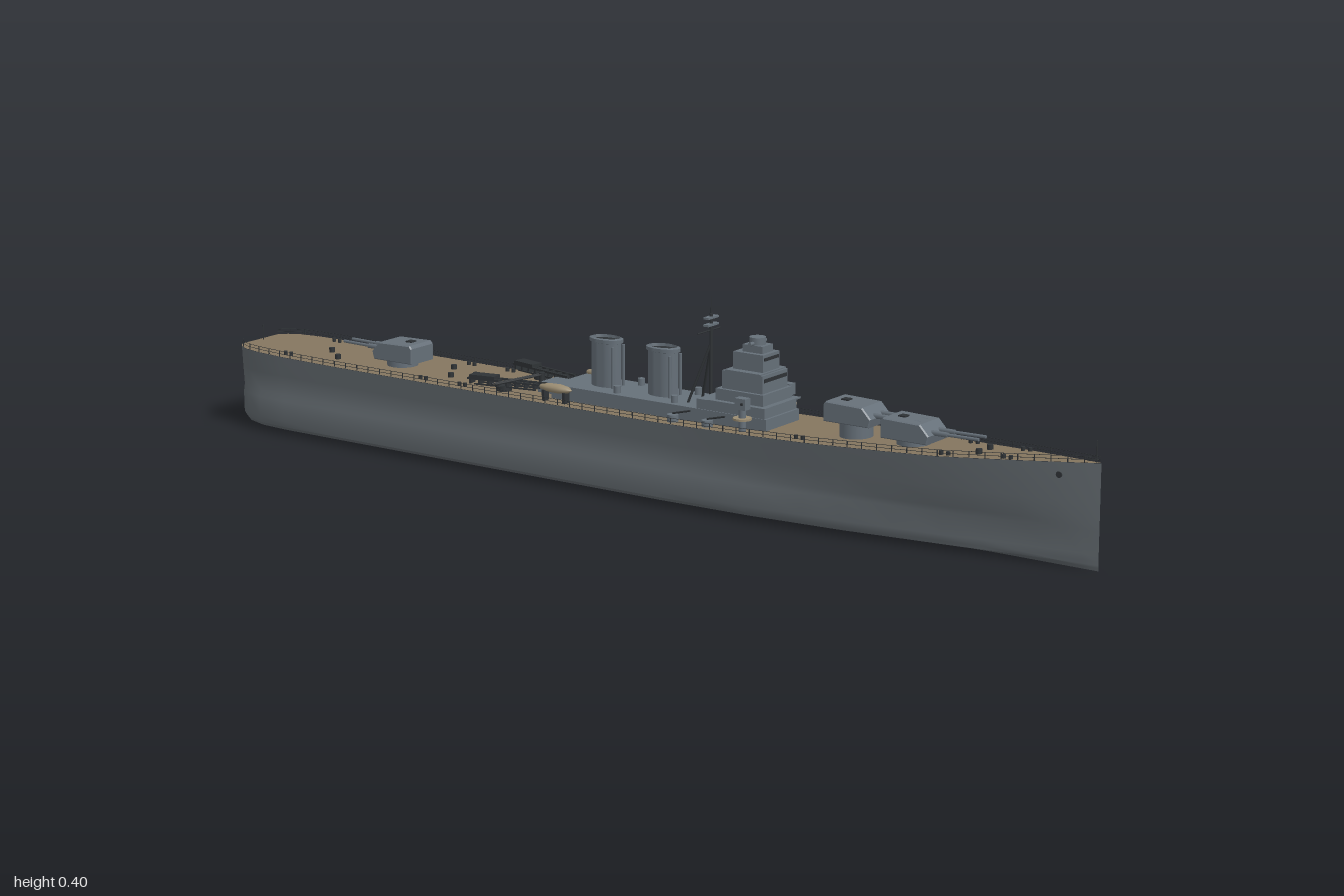
import * as THREE from 'three';
import { toCreasedNormals } from 'three/addons/utils/BufferGeometryUtils.js';

const mat = (name, color, side = THREE.FrontSide) => {
  const m = new THREE.MeshStandardMaterial({ color, side });
  m.name = name;
  return m;
};
const hullGrey = mat('hull grey', 0x61686d);
const steel = mat('superstructure grey', 0x667079);
const wood = mat('wooden deck', 0x85765f, THREE.DoubleSide);
const dark = mat('dark fittings', 0x2f3336);
const canvas = mat('boat canvas', 0x9a8c72);

// Linear lookup in a short table of [x, value] pairs
function lookup(table, x) {
  for (let i = 1; i < table.length; i++) {
    const [x0, a] = table[i - 1], [x1, b] = table[i];
    if (x <= x1) return a + (b - a) * (x - x0) / (x1 - x0);
  }
  return table[table.length - 1][1];
}
const BEAM = [[-1, 0.055], [-0.985, 0.073], [-0.96, 0.086], [-0.92, 0.094], [-0.85, 0.099], [-0.7, 0.1], [0.3, 0.1],
  [0.42, 0.096], [0.55, 0.087], [0.7, 0.068], [0.82, 0.045], [0.92, 0.021], [1, 0.001]];
const LOWER = [[-1, 0.052], [-0.985, 0.07], [-0.96, 0.084], [-0.92, 0.093], [-0.85, 0.099], [-0.7, 0.1], [0.1, 0.1],
  [0.3, 0.094], [0.5, 0.076], [0.7, 0.047], [0.85, 0.021], [1, 0.001]];
const SHEER = [[-1, 0.168], [-0.6, 0.164], [0.1, 0.165], [0.4, 0.172], [0.7, 0.182], [1, 0.2]];
const beam = x => lookup(BEAM, x), sheer = x => lookup(SHEER, x);

// Skin through equal-length cross-sections, optionally closing the first one
function loft(sections, cap) {
  const n = sections[0].length, idx = [];
  for (let i = 0; i < sections.length - 1; i++) for (let j = 0; j < n - 1; j++) {
    const a = i * n + j, b = a + n;
    idx.push(a, b, a + 1, b, b + 1, a + 1);
  }
  if (cap) for (let j = 1; j < n - 1; j++) idx.push(0, j, j + 1);
  const g = new THREE.BufferGeometry();
  g.setAttribute('position', new THREE.Float32BufferAttribute(sections.flat(2), 3));
  g.setIndex(idx);
  return toCreasedNormals(g, 0.6);
}

function createModel() {
  const model = new THREE.Group(), ship = new THREE.Group();
  ship.name = 'ship';
  ship.position.z = -0.005;
  model.add(ship);
  const add = (name, geo, m, x = 0, y = 0, z = 0, parent = ship) => {
    const o = new THREE.Mesh(geo, m);
    o.name = name;
    o.position.set(x, y, z);
    parent.add(o);
    return o;
  };
  // Box from its x range, y range and half width
  const block = (name, x0, x1, y0, y1, half, m = steel, z = 0, parent = ship) =>
    add(name, new THREE.BoxGeometry(x1 - x0, y1 - y0, half * 2), m, (x0 + x1) / 2, (y0 + y1) / 2, z, parent);
  const drum = (name, r, y0, y1, x, z, m = steel, parent = ship) =>
    add(name, new THREE.CylinderGeometry(r, r, y1 - y0, 20), m, x, (y0 + y1) / 2, z, parent);
  const rod = (name, a, b, r, m = dark, parent = ship) => {
    const p = new THREE.Vector3(...a), d = new THREE.Vector3(...b).sub(p);
    const o = add(name, new THREE.CylinderGeometry(r, r, d.length(), 6), m, 0, 0, 0, parent);
    o.position.copy(p).addScaledVector(d, 0.5);
    o.quaternion.setFromUnitVectors(new THREE.Vector3(0, 1, 0), d.normalize());
  };

  // Hull: bulged sides, shallow V bottom
  const stations = [-1, -0.985, -0.96, -0.92, -0.85, -0.7, -0.4, 0, 0.1, 0.2, 0.3, 0.42, 0.5, 0.6, 0.7, 0.78, 0.85, 0.92, 0.97, 1];
  add('hull', loft(stations.map(x => {
    const w = beam(x), l = lookup(LOWER, x), s = sheer(x), lift = x < -0.95 ? (-0.95 - x) * 0.3 : 0;
    const half = [[w, s], [(w * 2 + l) / 3 * 0.97, 0.125], [(w + l * 2) / 3 * 0.94, 0.085], [l, 0.073],
      [l, 0.03 + lift], [l * 0.985, 0.018 + lift], [l * 0.92, 0.011 + lift], [l * 0.5, 0.006 + lift]];
    return [...half.map(([z, y]) => [x, y, -z]), [x, lift, 0], ...half.reverse().map(([z, y]) => [x, y, z])];
  }), true), hullGrey);
  add('deck', loft(stations.map(x => [[x, sheer(x) + 0.0005, beam(x)], [x, sheer(x) + 0.0005, -beam(x)]])), wood);

  // Guard rails, mooring bitts and hawse plates on both sides
  const post = new THREE.BoxGeometry(0.0015, 0.012, 0.0015);
  for (const s of [-1, 1]) {
    for (const h of [0.006, 0.012]) {
      const pts = stations.map(x => new THREE.Vector3(x * 0.998, sheer(x) + h, s * beam(x) * 0.98));
      const path = new THREE.CurvePath();
      for (let i = 1; i < pts.length; i++) path.add(new THREE.LineCurve3(pts[i - 1], pts[i]));
      add('guard rail', new THREE.TubeGeometry(path, 120, 0.0005, 4), dark);
    }
    for (let x = -0.98; x < 0.99; x += 0.03) add('rail post', post, dark, x, sheer(x) + 0.006, s * beam(x) * 0.98);
    for (const x of [-0.86, -0.5, -0.4, 0.4, 0.7, 0.82])
      for (const d of [0, 0.015]) drum('bitt', 0.004, sheer(x), sheer(x) + 0.008, x + d, s * beam(x) * 0.78, dark);
    const hawse = add('hawse plate', new THREE.CylinderGeometry(0.006, 0.006, 0.004, 12), dark, 0.925, 0.172, s * 0.0185);
    hawse.rotation.x = Math.PI / 2;
  }
  for (const [x, z] of [[-0.8, 0], [-0.75, 0.04], [-0.5, -0.03], [-0.46, 0.03], [-0.42, 0], [0.76, 0.02], [0.76, -0.02]])
    drum('deck vent', 0.006, sheer(x), sheer(x) + 0.01, x, z, dark);
  rod('jackstaff', [0.99, 0.198, 0], [0.99, 0.24, 0], 0.001);
  rod('ensign staff', [-0.99, 0.166, 0], [-0.99, 0.2, 0], 0.001);

  // Twin gun turrets; dir is the way the barrels point
  const house = new THREE.ExtrudeGeometry(new THREE.Shape([[-0.05, 0], [0.046, 0], [0.05, 0.014], [0.032, 0.033], [-0.046, 0.035], [-0.05, 0.03]]
    .map(p => new THREE.Vector2(...p))), { depth: 0.066, bevelEnabled: true, bevelSize: 0.002, bevelThickness: 0.003, bevelSegments: 1 });
  house.translate(0, 0, -0.033);
  const turret = (x, y, dir) => {
    const t = new THREE.Group();
    t.name = 'gunTurret';
    t.position.set(x, y, 0);
    t.rotation.y = dir > 0 ? 0 : Math.PI;
    ship.add(t);
    add('turret house', house, steel, 0, 0, 0, t);
    drum('barbette', 0.032, sheer(x) - y - 0.002, 0.002, 0, 0, steel, t);
    for (const z of [-0.013, 0.013]) {
      rod('gun sleeve', [0.035, 0.018, z], [0.08, 0.018, z], 0.005, steel, t);
      rod('gun barrel', [0.07, 0.018, z], [0.145, 0.019, z], 0.0032, steel, t);
    }
    block('turret hatch', -0.03, -0.015, 0.034, 0.039, 0.008, dark, 0, t);
  };
  turret(0.61, 0.191, 1);
  turret(0.485, 0.205, 1);
  turret(-0.61, 0.179, -1);

  // Long deckhouse and elliptical funnels
  block('deckhouse', -0.185, 0.32, 0.16, 0.193, 0.057);
  block('aft deckhouse', -0.24, -0.18, 0.16, 0.184, 0.03);
  for (const x of [-0.093, 0.043]) {
    const pts = [[0.033, 0.185], [0.033, 0.28], [0.037, 0.281], [0.037, 0.288], [0.031, 0.29], [0.03, 0.282], [0, 0.282]].map(p => new THREE.Vector2(...p));
    add('funnel', toCreasedNormals(new THREE.LatheGeometry(pts, 32), 0.6), steel, x).scale.z = 0.64;
    add('funnel mouth', new THREE.CylinderGeometry(0.029, 0.029, 0.003, 32), dark, x, 0.283).scale.z = 0.64;
    for (const z of [-0.018, 0.018]) rod('steam pipe', [x + 0.028, 0.19, z], [x + 0.028, 0.275, z], 0.003, steel);
    for (const z of [-0.04, 0.04]) drum('ventilator', 0.007, 0.19, 0.207, x + 0.055, z);
  }

  // Bridge tower, narrowing level by level
  block('bridge base', 0.16, 0.315, 0.19, 0.212, 0.055);
  block('bridge wing deck', 0.19, 0.32, 0.212, 0.215, 0.062);
  block('lower bridge', 0.2, 0.308, 0.215, 0.237, 0.05);
  block('main bridge', 0.21, 0.302, 0.237, 0.272, 0.043);
  block('upper bridge', 0.225, 0.293, 0.272, 0.308, 0.028);
  block('bridge roof', 0.218, 0.298, 0.2715, 0.2745, 0.044);
  block('director base', 0.24, 0.285, 0.308, 0.322, 0.018);
  drum('director', 0.016, 0.32, 0.336, 0.262, 0);
  rod('rangefinder', [0.262, 0.325, -0.027], [0.262, 0.325, 0.027], 0.004, steel);
  block('bridge searchlight', 0.24, 0.255, 0.309, 0.318, 0.006, steel, -0.033);
  block('bridge windows', 0.302, 0.304, 0.258, 0.265, 0.038, dark);
  block('upper windows', 0.293, 0.295, 0.296, 0.302, 0.024, dark);

  // Tripod mast with yards
  rod('mast', [0.155, 0.19, 0], [0.155, 0.368, 0], 0.0035);
  rod('topmast', [0.155, 0.36, 0], [0.155, 0.4, 0], 0.001);
  for (const s of [-1, 1]) rod('mast leg', [0.118, 0.19, s * 0.025], [0.155, 0.31, 0], 0.0025);
  rod('yard', [0.155, 0.335, -0.03], [0.155, 0.335, 0.045], 0.0015);
  for (const y of [0.346, 0.36]) block('mast platform', 0.149, 0.161, y - 0.002, y + 0.002, 0.018);

  // Side directors, guns and boats
  const boatProfile = [[0, -0.04], [0.007, -0.034], [0.012, -0.015], [0.013, 0.01], [0.009, 0.03], [0, 0.04]].map(p => new THREE.Vector2(...p));
  for (const s of [-1, 1]) {
    const z = s * 0.077;
    drum('director pedestal', 0.007, 0.165, 0.215, 0.28, z);
    drum('director platform', 0.018, 0.192, 0.196, 0.28, z, canvas);
    block('side director', 0.268, 0.292, 0.212, 0.234, 0.009, steel, z);
    rod('director sight', [0.285, 0.224, z - 0.012], [0.285, 0.224, z + 0.012], 0.003);
    for (const x of [0.12, 0.2]) {
      drum('gun mount', 0.011, 0.163, 0.18, x, z);
      rod('light gun', [x, 0.182, z], [x + 0.04, 0.192, z], 0.002);
    }
    const boat = add('boat', new THREE.LatheGeometry(boatProfile, 16), canvas, -0.16, 0.192, z);
    boat.rotation.z = -Math.PI / 2;
    boat.scale.x = 0.7;
    for (const x of [-0.185, -0.135]) block('boat chock', x - 0.003, x + 0.003, 0.163, 0.187, 0.008, dark, z);

    // Catapult, splayed outwards going aft, with a lattice of struts
    const c = new THREE.Group();
    c.name = 'catapult';
    c.position.set(-0.3, 0.166, s * 0.062);
    c.rotation.y = s * 0.2;
    ship.add(c);
    drum('catapult turntable', 0.016, 0, 0.01, 0, 0, dark, c);
    for (const w of [-0.01, 0.01]) {
      block('catapult rail', -0.075, 0.09, 0.018, 0.022, 0.002, dark, w, c);
      block('catapult lower beam', -0.06, 0.075, 0.008, 0.011, 0.0015, dark, w, c);
    }
    for (let x = -0.07; x <= 0.09; x += 0.02) block('catapult strut', x - 0.002, x + 0.002, 0.009, 0.021, 0.01, dark, 0, c);
    block('catapult cradle', -0.07, -0.015, 0.021, 0.028, 0.013, dark, 0, c);
  }

  // Aircraft crane swung outboard
  drum('crane post', 0.006, 0.165, 0.2, -0.245, 0.01, dark);
  for (const d of [-0.004, 0.004]) rod('crane jib', [-0.245 + d, 0.196, 0.01], [-0.29 + d, 0.188, 0.108], 0.002);
  return model;
}

export { createModel };
